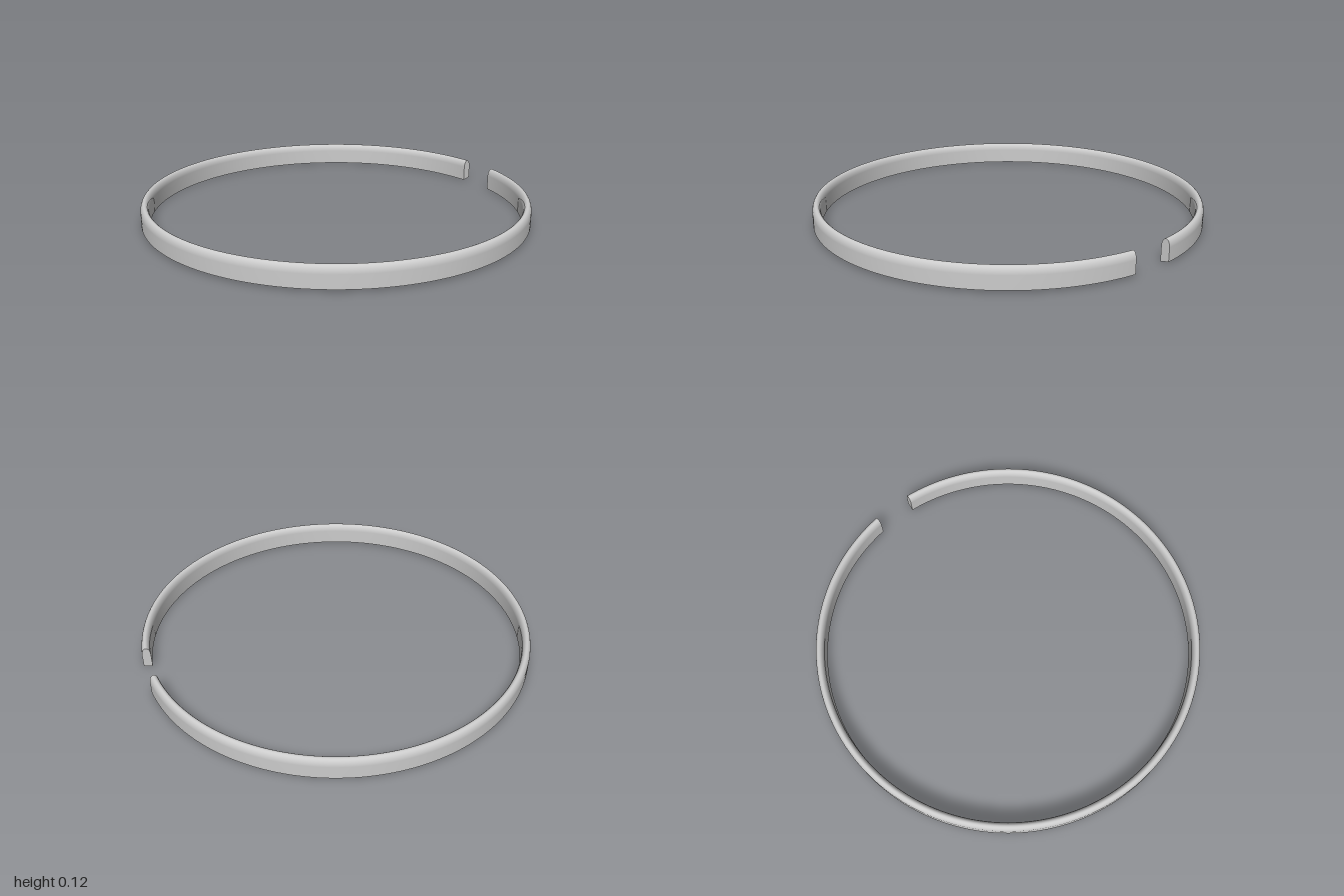
import * as THREE from 'three';

const OUTER = 1, INNER = 0.957, HEIGHT = 0.116;
const SHOULDER = 0.078; // where the straight walls meet the arched top
const rad = THREE.MathUtils.degToRad;
const START = rad(95.2), END = rad(442.8); // sweep leaves a small gap at +x

// Cross-section: outer wall, arched top, inner wall
function bandProfile() {
  const mid = (OUTER + INNER) / 2, half = (OUTER - INNER) / 2;
  const pts = [new THREE.Vector2(OUTER, 0.01)];
  for (let i = 0; i <= 16; i++) {
    const a = (i / 16) * Math.PI;
    pts.push(new THREE.Vector2(mid + half * Math.cos(a), SHOULDER + (HEIGHT - SHOULDER) * Math.sin(a)));
  }
  pts.push(new THREE.Vector2(INNER, 0));
  return pts;
}

export function createModel() {
  const group = new THREE.Group();
  group.name = 'openRing';
  const material = new THREE.MeshStandardMaterial({ color: 0xcccccc, side: THREE.DoubleSide });
  const profile = bandProfile();

  const add = (name, geometry) => {
    const mesh = new THREE.Mesh(geometry, material);
    mesh.name = name;
    mesh.position.x = 0.002;
    group.add(mesh);
    return mesh;
  };
  const sweep = (pts) => new THREE.LatheGeometry(pts, 180, START, END - START);

  // Smooth band and its slightly sloped underside, split for a sharp edge
  add('band', sweep(profile));
  add('underside', sweep([profile[profile.length - 1], profile[0]]));

  // Flat end faces on both sides of the gap
  const section = new THREE.ShapeGeometry(new THREE.Shape(profile));
  add('backEnd', section).rotation.y = START - Math.PI / 2;
  add('frontEnd', section).rotation.y = END - Math.PI / 2;

  return group;
}
